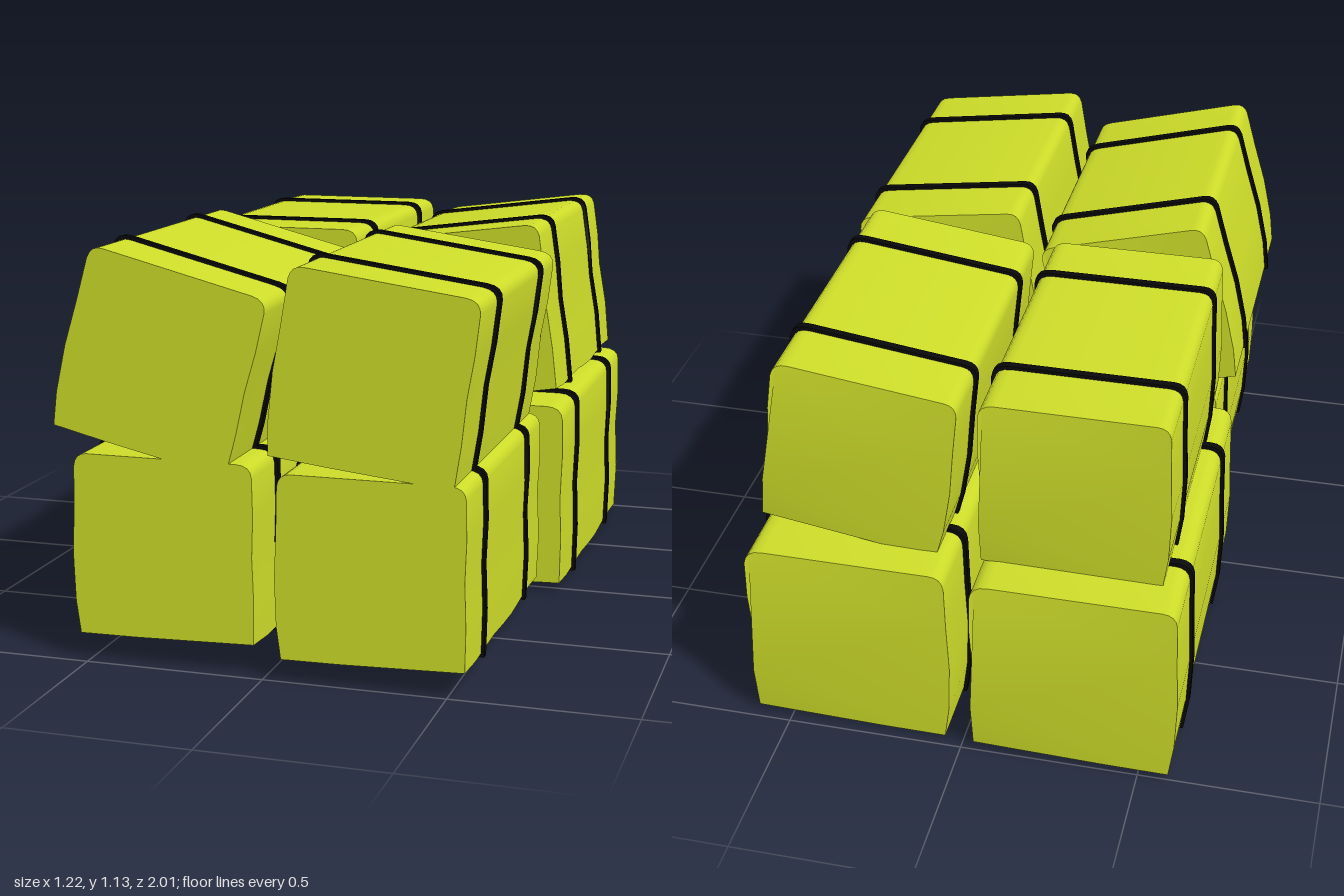
import * as THREE from 'three';
import { toCreasedNormals } from 'three/addons/utils/BufferGeometryUtils.js';

const LENGTH = 0.9;
const HALF = LENGTH / 2;

// Bale cross-section: rounded top corners, crisp and slightly uneven bottom corners
function baleOutline(scale = 1) {
  const s = new THREE.Shape();
  const points = [
    [-0.24, -0.25], [-0.08, -0.248], [0.09, -0.243], [0.255, -0.238],
    [0.257, -0.12], [0.253, 0], [0.257, 0.11], [0.255, 0.215],
  ];
  points.forEach(([x, y], i) => (i ? s.lineTo(x * scale, y * scale) : s.moveTo(x * scale, y * scale)));
  s.quadraticCurveTo(0.253 * scale, 0.25 * scale, 0.21 * scale, 0.25 * scale);
  s.lineTo(-0.21 * scale, 0.25 * scale);
  s.quadraticCurveTo(-0.243 * scale, 0.25 * scale, -0.247 * scale, 0.215 * scale);
  for (const [x, y] of [[-0.25, 0.1], [-0.256, -0.03], [-0.252, -0.16]]) s.lineTo(x * scale, y * scale);
  s.closePath();
  return s;
}

// Sag the underside and ripple the rear end, as in packed straw
function deform(geometry) {
  const p = geometry.attributes.position;
  for (let i = 0; i < p.count; i++) {
    const x = p.getX(i), y = p.getY(i), z = p.getZ(i);
    const back = THREE.MathUtils.clamp((HALF - z) / LENGTH, 0, 1);
    const right = THREE.MathUtils.clamp((x + 0.25) / 0.5, 0, 1);
    const low = THREE.MathUtils.clamp(-y / 0.25, 0, 1);
    const sag = Math.sin(Math.PI * back) * 0.008 + 0.008 * back + 0.005 * Math.sin(back * 13);
    p.setY(i, y - low * low * right * sag);
    p.setZ(i, z + 0.008 * back * right * Math.sin(y * 22 + 1));
  }
  return toCreasedNormals(geometry, 0.6);
}

function slab(scale, depth, z, steps) {
  const g = new THREE.ExtrudeGeometry(baleOutline(scale), { depth, steps, bevelEnabled: false, curveSegments: 4 });
  return deform(g.translate(0, 0, z - depth / 2));
}

export function createModel() {
  const model = new THREE.Group();
  model.name = 'strawBaleStack';
  const straw = new THREE.MeshStandardMaterial({ color: 0xcddc29 });
  const twine = new THREE.MeshStandardMaterial({ color: 0x080808 });

  const bodyGeometry = slab(1, LENGTH, 0, 8);
  const strapGeometries = [0.258, -0.255].map((z) => slab(1.035, 0.022, z, 1));

  // name, centre x, y, z, scale, tilt in degrees
  const bales = [
    ['frontLowerRight', -0.287, 0.335, 0.525, 1, 0],
    ['frontLowerLeft', 0.292, 0.325, 0.55, 1, 0],
    ['frontUpperRight', -0.293, 0.84, 0.525, 1, -14.5],
    ['frontUpperLeft', 0.295, 0.835, 0.55, 1, -8],
    ['backLowerRight', -0.318, 0.31, -0.502, 1.11, 0],
    ['backLowerLeft', 0.317, 0.302, -0.475, 1.11, 0],
    ['backUpperRight', -0.292, 0.832, -0.435, 1, 0],
    ['backUpperLeft', 0.298, 0.84, -0.415, 1, 7.5],
  ];

  for (const [name, x, y, z, scale, tilt] of bales) {
    const bale = new THREE.Group();
    bale.name = name + 'Bale';
    const body = new THREE.Mesh(bodyGeometry, straw);
    body.name = 'straw';
    bale.add(body);
    strapGeometries.forEach((g, i) => {
      const strap = new THREE.Mesh(g, twine);
      strap.name = i ? 'rearTwine' : 'frontTwine';
      bale.add(strap);
    });
    bale.position.set(x, y, z);
    bale.scale.setScalar(scale);
    bale.rotation.z = THREE.MathUtils.degToRad(tilt);
    model.add(bale);
  }
  return model;
}
